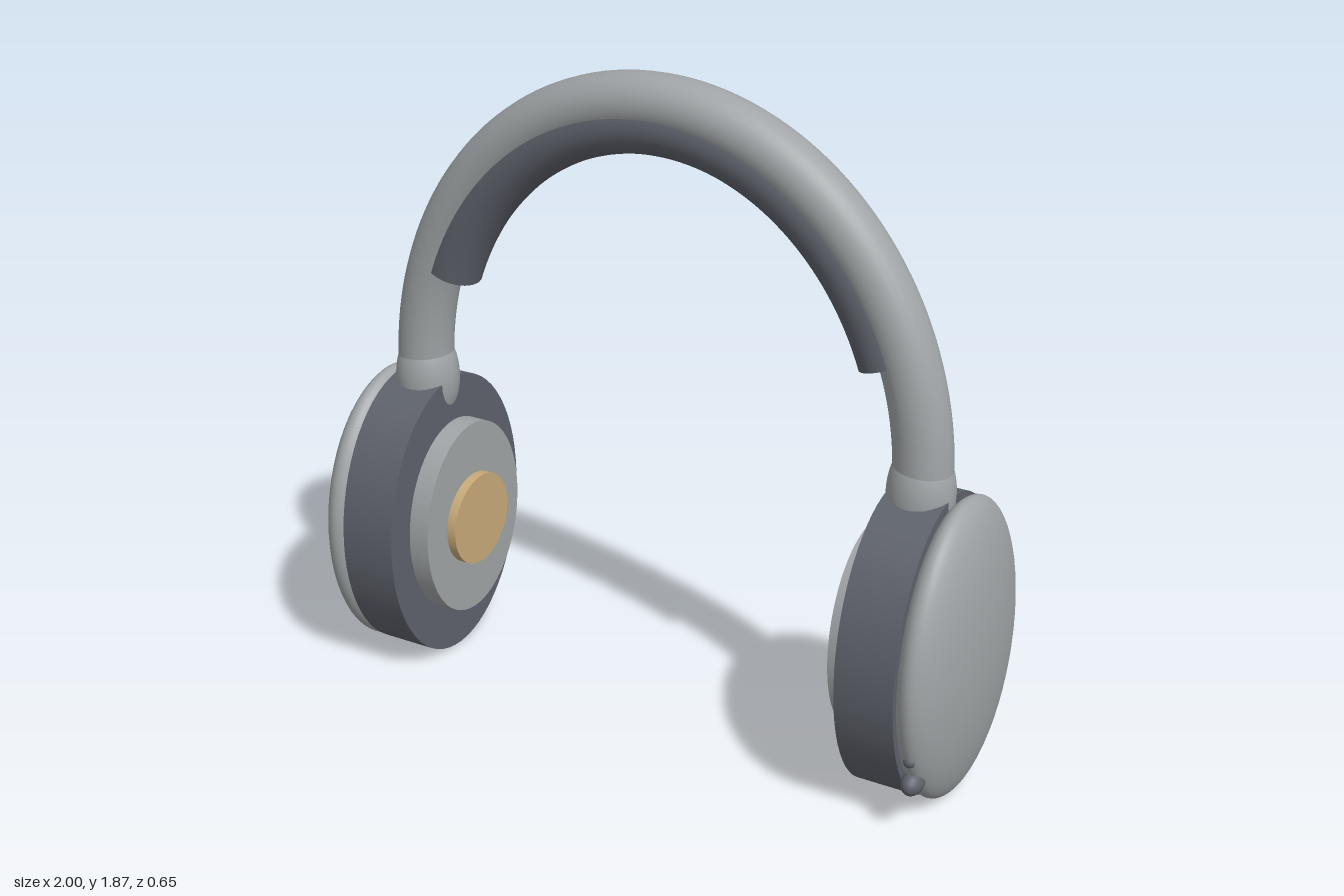
import * as THREE from 'three';

function material(name, color) {
  const m = new THREE.MeshStandardMaterial({ color });
  m.name = name;
  return m;
}

// Half-ellipse arch standing in the x-y plane, running from +x to -x
class Arch extends THREE.Curve {
  constructor(rx, ry, baseY, startAngle) {
    super();
    Object.assign(this, { rx, ry, baseY, startAngle });
  }
  getPoint(t, target = new THREE.Vector3()) {
    const a = this.startAngle + t * (Math.PI - 2 * this.startAngle);
    return target.set(this.rx * Math.cos(a), this.baseY + this.ry * Math.sin(a), 0);
  }
}

export function createModel() {
  const group = new THREE.Group();
  group.name = 'headphones';

  const shell = material('light grey shell', 0xa0a4a6);
  const padding = material('dark grey padding', 0x5e626b);
  const accent = material('tan accent', 0xc8aa7a);

  const add = (parent, name, geometry, mat, x = 0, y = 0, z = 0) => {
    const mesh = new THREE.Mesh(geometry, mat);
    mesh.name = name;
    mesh.position.set(x, y, z);
    parent.add(mesh);
    return mesh;
  };

  // Elliptical disc with its axis along x
  const disc = (width, ry, rz) =>
    new THREE.CylinderGeometry(1, 1, width, 64).rotateZ(Math.PI / 2).scale(1, ry, rz);
  const ellipsoid = (rx, ry, rz, segments = 48) =>
    new THREE.SphereGeometry(1, segments, segments / 2).scale(rx, ry, rz);

  // Headband and the pad under it
  const bandRadius = 0.08;
  const band = new Arch(0.78, 0.89, 0.9, 0);
  add(group, 'headband', new THREE.TubeGeometry(band, 80, bandRadius, 32), shell);

  const pad = new Arch(0.72, 0.83, 0.9, 0.376);
  add(group, 'headbandPad', new THREE.TubeGeometry(pad, 64, bandRadius, 32), padding);
  for (const t of [0, 1]) {
    const point = pad.getPoint(t);
    const outward = pad.getTangent(t).multiplyScalar(t === 0 ? -1 : 1);
    const end = add(group, 'padEnd', new THREE.CircleGeometry(bandRadius, 32), padding, point.x, point.y, 0);
    end.lookAt(point.clone().add(outward));
  }

  // Ear cups, mirrored left and right
  const cupY = 0.433;
  for (const side of [1, -1]) {
    const cup = new THREE.Group();
    cup.name = side > 0 ? 'leftEarCup' : 'rightEarCup';
    group.add(cup);
    add(cup, 'outerShell', ellipsoid(0.1, 0.432, 0.325, 64), shell, side * 0.9, cupY);
    add(cup, 'cushion', disc(0.168, 0.433, 0.325), padding, side * 0.781, cupY);
    add(cup, 'innerDisc', disc(0.07, 0.295, 0.235), shell, side * 0.67, cupY + 0.005);
    add(cup, 'speakerCentre', disc(0.04, 0.137, 0.137), accent, side * 0.627, cupY + 0.005);
    add(cup, 'bandJoint', ellipsoid(0.092, 0.155, 0.092), shell, side * 0.777, 0.86);
  }

  // Control knob and small button on the left cup
  add(group, 'controlKnob', ellipsoid(0.03, 0.034, 0.046, 24), padding, 0.9, 0.156, 0.25);
  add(group, 'smallButton', ellipsoid(0.017, 0.017, 0.017, 16), padding, 0.9, 0.235, 0.28);

  return group;
}
